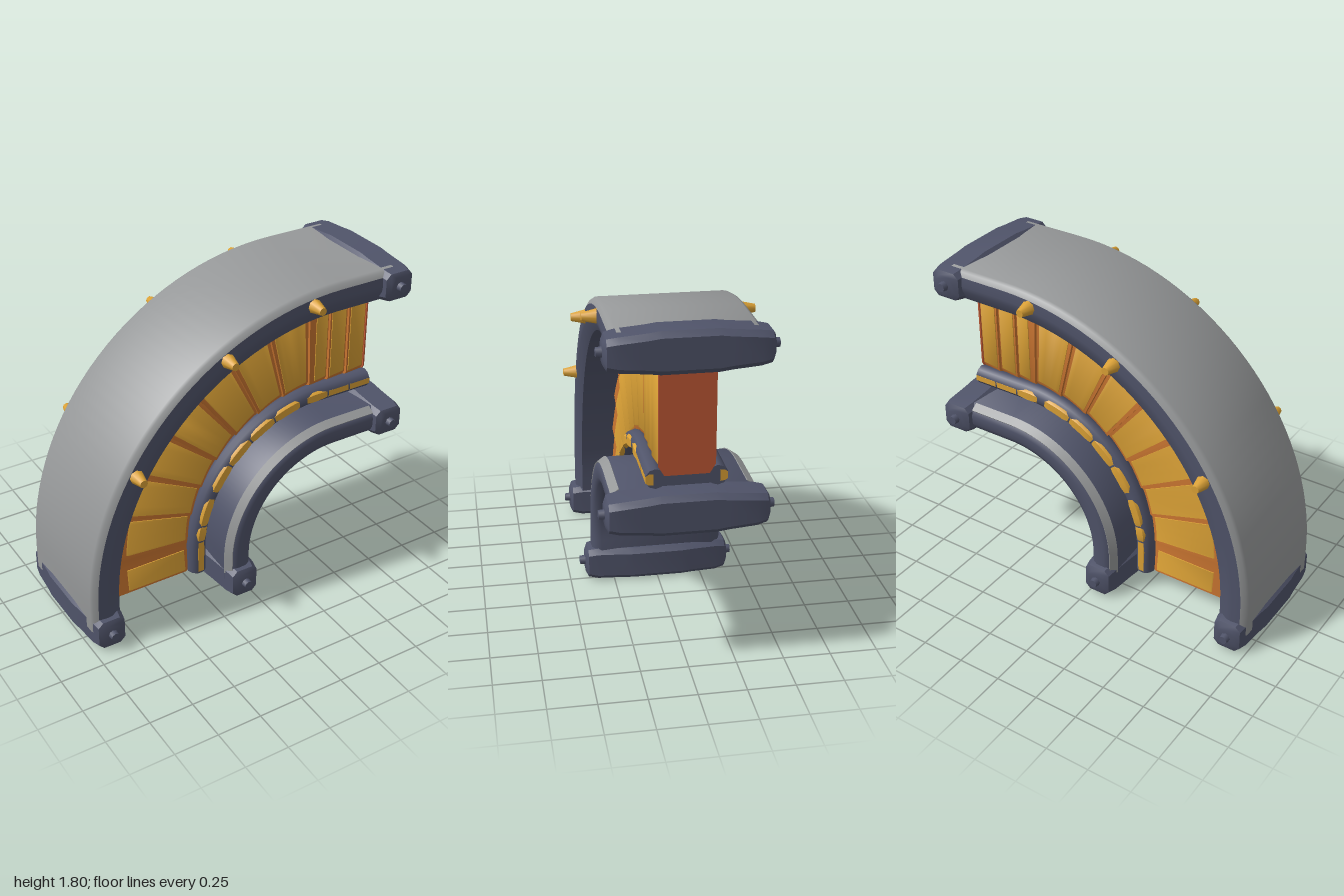
import * as THREE from 'three';
import { toCreasedNormals } from 'three/addons/utils/BufferGeometryUtils.js';

const paint = (name, color) => {
  const m = new THREE.MeshStandardMaterial({ color });
  m.name = name;
  return m;
};

// Shared bend path: short upright run (u 0..1), quarter turn (1..2), level run (2..3)
const CX = 0.55, CY = 0.25, RISE = 0.15, RUN = 0.35;
function at(u, r, z) {
  if (u < 1) return new THREE.Vector3(CX - r, CY - RISE * (1 - u), z);
  if (u > 2) return new THREE.Vector3(CX + RUN * (u - 2), CY + r, z);
  const a = (u - 1) * Math.PI / 2;
  return new THREE.Vector3(CX - r * Math.cos(a), CY + r * Math.sin(a), z);
}
// Distance along the path at radius r, turned into u
function toU(s, r) {
  const arc = r * Math.PI / 2;
  if (s < RISE) return s / RISE;
  if (s < RISE + arc) return 1 + (s - RISE) / arc;
  return 2 + (s - RISE - arc) / RUN;
}

// Closed solid through a row of convex rings
function loft(rings, crease = 0.7) {
  const pos = [];
  let volume = 0;
  const tri = (a, b, c) => {
    pos.push(...a.toArray(), ...b.toArray(), ...c.toArray());
    volume += a.dot(b.clone().cross(c));
  };
  const n = rings[0].length, last = rings[rings.length - 1];
  for (let j = 0; j < rings.length - 1; j++) {
    for (let i = 0; i < n; i++) {
      const k = (i + 1) % n, p = rings[j], q = rings[j + 1];
      tri(p[i], p[k], q[k]);
      tri(p[i], q[k], q[i]);
    }
  }
  for (let i = 1; i < n - 1; i++) {
    tri(rings[0][0], rings[0][i + 1], rings[0][i]);
    tri(last[0], last[i], last[i + 1]);
  }
  if (volume < 0) {
    for (let i = 0; i < pos.length; i += 9) {
      for (let c = 0; c < 3; c++) [pos[i + 3 + c], pos[i + 6 + c]] = [pos[i + 6 + c], pos[i + 3 + c]];
    }
  }
  const g = new THREE.BufferGeometry();
  g.setAttribute('position', new THREE.Float32BufferAttribute(pos, 3));
  return toCreasedNormals(g, crease);
}

// Sweep a convex (r, z) profile along the path; profile(t) may change from start to end
function sweep(profile, u0, u1) {
  const us = [u0];
  const step = 1 / 32;
  for (let u = 1; u <= 2; u += step) if (u > u0 + 1e-4 && u < u1 - 1e-4) us.push(u);
  us.push(u1);
  return loft(us.map(u => profile((u - u0) / (u1 - u0)).map(([r, z]) => at(u, r, z))));
}

// Half profile (z > 0) completed across z = 0
const bothSides = half => [...half, ...half.map(([r, z]) => [r, -z]).reverse()];

export function createModel() {
  const model = new THREE.Group();
  const slate = paint('slate', 0x50546a);
  const grey = paint('grey', 0x969899);
  const yellow = paint('yellow', 0xdca236);
  const orange = paint('orange', 0xc87430);
  const rust = paint('rust', 0xc25a36);
  const add = (name, geometry, material, parent = model) => {
    const m = new THREE.Mesh(geometry, material);
    m.name = name;
    parent.add(m);
    return m;
  };

  // Outer shell: slate channel with a grey outer skin
  const shell = bothSides([[1.5, 0.367], [1.45, 0.372], [1.42, 0.368], [1.36, 0.335]]);
  const skin = bothSides([[1.535, 0.335], [1.525, 0.352], [1.5, 0.367]]);
  add('outerShell', sweep(() => shell, 0, 3), slate);
  add('outerSkin', sweep(() => skin, 0, 3), grey);

  // Inner arch with worn grey edges
  const arch = bothSides([[0.69, 0.325], [0.66, 0.364], [0.63, 0.372], [0.58, 0.37], [0.55, 0.355], [0.53, 0.32]]);
  add('innerArch', sweep(() => arch, 0, 3), slate);
  for (const s of [-1, 1]) {
    const edge = [[0.685, 0.32], [0.694, 0.325], [0.666, 0.367], [0.655, 0.36]].map(([r, z]) => [r, z * s]);
    add('innerArchEdge', sweep(() => edge, 0.3, 2.75), grey);
  }

  // Fan of overlapping wall segments, each with raised yellow plates
  const wallProfile = z => bothSides([[1.38, z - 0.02], [1.33, z], [0.84, z], [0.79, z - 0.03]]);
  const seams = [0];
  for (let a = 4; a <= 88; a += 12) seams.push(1 + a / 90);
  seams.push(2.27, 2.63, 3);
  const wall = new THREE.Group();
  wall.name = 'fanWall';
  model.add(wall);
  for (let i = 0; i < seams.length - 1; i++) {
    const u0 = seams[i], u1 = seams[i + 1], gap = (u1 - u0) * 0.09;
    const depth = t => 0.152 - 0.018 * t;
    const top = 1.21 + 0.012 * i;
    add('wallSegment', sweep(t => wallProfile(depth(t)), u0, u1), orange, wall);
    for (const s of [-1, 1]) {
      const plate = t => {
        const z = depth(0.09 + 0.82 * t);
        return [[0.84, s * (z - 0.003)], [top, s * (z - 0.003)], [top - 0.01, s * (z + 0.005)], [0.85, s * (z + 0.005)]];
      };
      add('wallPlate', sweep(plate, u0 + gap, u1 - gap), yellow, wall);
    }
  }
  add('wallEnd', sweep(() => wallProfile(0.143), 2.99, 3.015), rust, wall);
  add('wallFoot', sweep(() => wallProfile(0.143), -0.03, 0.02), rust, wall);

  // Pipe bundle between the wall and the inner arch
  const circle = (r, z, size) => Array.from({ length: 10 }, (_, i) => {
    const a = i / 10 * Math.PI * 2;
    return [r + size * Math.cos(a), z + size * Math.sin(a)];
  });
  for (const z of [-0.155, -0.065, 0, 0.065, 0.155]) {
    const size = Math.abs(z) > 0.1 ? 0.053 : 0.042;
    add('pipe', sweep(() => circle(0.775, z, size), 0, 3), slate);
  }
  add('pipeBed', sweep(() => bothSides([[0.8, 0.13], [0.735, 0.13]]), 0, 3), slate);

  // Yellow pads along the outer pipes, grouped by two gaps
  const pads = [[0.01, 0.21], [0.22, 0.31], [0.32, 0.49]];
  for (let i = 0; i < 4; i++) pads.push([0.535 + i * 0.177, 0.702 + i * 0.177]);
  for (let i = 0; i < 3; i++) pads.push([1.285 + i * 0.146, 1.421 + i * 0.146]);
  for (const s of [-1, 1]) {
    for (const [a, b] of pads) {
      const pad = t => {
        const k = 0.78 + 0.22 * Math.min(1, Math.min(t, 1 - t) * 7);
        return [[-0.037, -0.03], [-0.037, 0], [-0.022, 0.02], [0.022, 0.02], [0.037, 0], [0.037, -0.03]]
          .map(([r, z]) => [0.772 + r * k, s * (0.19 + z * k)]);
      };
      add('pipePad', sweep(pad, toU(a, 0.772), toU(b, 0.772)), yellow);
    }
  }

  // End collars: thick in the middle, tapering to bolted tips
  const sections = [[-0.41, 0.055, 0.06], [-0.395, 0.078, 0.085], [-0.34, 0.088, 0.095], [-0.2, 0.1, 0.095], [-0.14, 0.108, 0.095]];
  const allSections = [...sections, ...sections.map(([z, a, b]) => [-z, a, b]).reverse()];
  const collarGeometry = loft(allSections.map(([z, a, b]) => {
    const c = 0.028;
    return [[a, b - c], [a - c, b], [c - a, b], [-a, b - c], [-a, c - b], [c - a, -b], [a - c, -b], [a, c - b]]
      .map(([x, y]) => new THREE.Vector3(x, y, z));
  }), 0.6);
  const boltGeometry = new THREE.CylinderGeometry(0.024, 0.03, 0.05, 8).rotateX(Math.PI / 2);
  const collars = [[-0.892, 0.095, 0], [-0.05, 0.095, 0], [0.9, 1.695, 1], [0.9, 0.855, 1]];
  for (const [x, y, turned] of collars) {
    const collar = new THREE.Group();
    collar.name = 'endCollar';
    collar.position.set(x, y, 0);
    collar.rotation.z = turned * Math.PI / 2;
    model.add(collar);
    add('collarBody', collarGeometry, slate, collar);
    for (const s of [-1, 1]) {
      const bolt = add('collarBolt', boltGeometry, slate, collar);
      bolt.position.z = s * 0.415;
      if (s < 0) bolt.rotation.y = Math.PI;
    }
  }

  // Studs along both rims of the outer shell
  const studGeometry = new THREE.CylinderGeometry(0.022, 0.042, 0.085, 8).rotateX(Math.PI / 2);
  for (const degrees of [31.6, 61.2, 83]) {
    for (const s of [-1, 1]) {
      const stud = add('rimStud', studGeometry, yellow);
      stud.position.copy(at(1 + degrees / 90, 1.46, s * 0.403));
      stud.rotation.y = s < 0 ? Math.PI : 0;
    }
  }
  return model;
}
